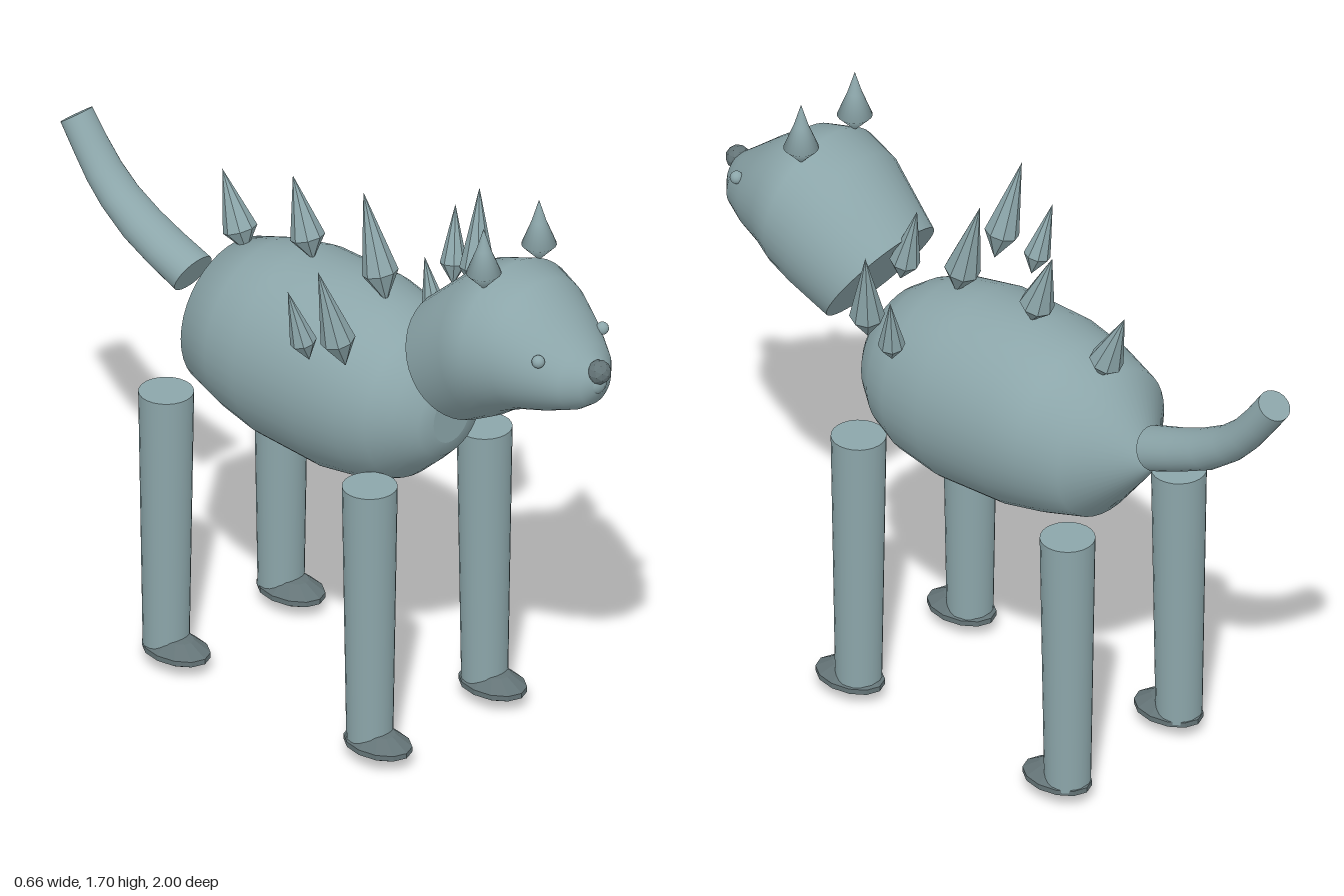
import * as THREE from 'three';

const skin = new THREE.MeshStandardMaterial({ color: 0x8ca6aa });
skin.name = 'blueGreySkin';
const dark = new THREE.MeshStandardMaterial({ color: 0x647477 });
dark.name = 'darkGrey';
const spikeSkin = skin;

// Skin over rings listed front to back: [topZ, topY, bottomZ, bottomY, halfWidth]
function loft(rings, sides = 32) {
  const pos = [], idx = [];
  const addRing = ([tz, ty, bz, by, rx]) => {
    const start = pos.length / 3;
    for (let j = 0; j < sides; j++) {
      const a = (j / sides) * Math.PI * 2, c = Math.cos(a) / 2;
      pos.push(rx * Math.sin(a), (ty + by) / 2 + (ty - by) * c, (tz + bz) / 2 + (tz - bz) * c);
    }
    return start;
  };
  const starts = rings.map(addRing);
  for (let i = 0; i < rings.length - 1; i++) {
    for (let j = 0; j < sides; j++) {
      const k = (j + 1) % sides, A = starts[i] + j, C = starts[i] + k;
      const B = starts[i + 1] + j, D = starts[i + 1] + k;
      idx.push(A, C, B, C, D, B);
    }
  }
  // flat end caps with their own vertices
  [[rings[0], true], [rings[rings.length - 1], false]].forEach(([r, front]) => {
    const s = addRing(r), m = pos.length / 3;
    pos.push(0, (r[1] + r[3]) / 2, (r[0] + r[2]) / 2);
    for (let j = 0; j < sides; j++) {
      const k = (j + 1) % sides;
      idx.push(m, s + (front ? k : j), s + (front ? j : k));
    }
  });
  const g = new THREE.BufferGeometry();
  g.setAttribute('position', new THREE.Float32BufferAttribute(pos, 3));
  g.setIndex(idx);
  g.computeVertexNormals();
  return g;
}

const lathe = (pts, sides) =>
  new THREE.LatheGeometry(pts.map(([r, y]) => new THREE.Vector2(r, y)), sides);

// Flat-faced geometry without a flatShading flag
function faceted(g) {
  const f = g.toNonIndexed();
  f.computeVertexNormals();
  return f;
}

export function createModel() {
  const model = new THREE.Group();
  model.name = 'spikedAnimal';
  const add = (name, geo, mat, x = 0, y = 0, z = 0) => {
    const m = new THREE.Mesh(geo, mat);
    m.name = name;
    m.position.set(x, y, z);
    model.add(m);
    return m;
  };

  // Barrel body, rounded chest, tapered rump
  add('body', loft([
    [0.425, 1.06, 0.425, 0.91, 0.07],
    [0.415, 1.10, 0.415, 0.87, 0.12],
    [0.37, 1.17, 0.37, 0.825, 0.175],
    [0.31, 1.215, 0.31, 0.77, 0.22],
    [0.23, 1.25, 0.23, 0.735, 0.25],
    [0.09, 1.28, 0.09, 0.715, 0.27],
    [-0.13, 1.28, -0.13, 0.728, 0.268],
    [-0.25, 1.255, -0.25, 0.755, 0.25],
    [-0.37, 1.215, -0.37, 0.79, 0.215],
    [-0.50, 1.04, -0.50, 0.95, 0.04],
    [-0.52, 1.01, -0.52, 0.98, 0.015],
  ], 40), skin);

  // Head and neck in one, cut off flat behind
  add('head', loft([
    [0.972, 1.33, 0.972, 1.27, 0.025],
    [0.955, 1.355, 0.955, 1.235, 0.06],
    [0.91, 1.39, 0.92, 1.21, 0.105],
    [0.83, 1.455, 0.84, 1.18, 0.155],
    [0.74, 1.52, 0.755, 1.155, 0.195],
    [0.645, 1.542, 0.70, 1.13, 0.228],
    [0.54, 1.505, 0.645, 1.09, 0.222],
    [0.36, 1.34, 0.555, 1.04, 0.188],
  ], 40), skin);

  // Upturned tail
  add('tail', loft([
    [-0.50, 1.11, -0.555, 1.0, 0.067],
    [-0.60, 1.145, -0.65, 1.04, 0.066],
    [-0.68, 1.18, -0.75, 1.088, 0.063],
    [-0.76, 1.225, -0.835, 1.152, 0.059],
    [-0.82, 1.275, -0.89, 1.21, 0.056],
    [-0.87, 1.335, -0.94, 1.275, 0.052],
    [-0.92, 1.405, -0.995, 1.35, 0.048],
  ], 24), skin);

  // Nose, muzzle bump
  add('nose', faceted(new THREE.IcosahedronGeometry(0.034, 1)), dark, 0, 1.335, 0.968);
  add('mouth', new THREE.SphereGeometry(0.04, 20, 14), skin, 0, 1.298, 0.942);

  // Legs, feet, eyes and ears, mirrored
  const legGeo = new THREE.CylinderGeometry(0.075, 0.063, 0.78, 24);
  const footGeo = lathe([[0, 0], [0.045, 0.015], [0.106, 0.043], [0.106, 0.058],
    [0.055, 0.088], [0, 0.094]], 12).scale(0.7, 1, 1);
  const footFlat = faceted(footGeo);
  const eyeGeo = new THREE.SphereGeometry(0.018, 14, 10);
  const earGeo = lathe([[0, 0], [0.048, 0.05], [0.02, 0.12], [0, 0.185]], 20);
  for (const s of [1, -1]) {
    const side = s > 0 ? 'Left' : 'Right';
    for (const [end, legZ, footZ] of [['front', 0.335, 0.365], ['back', -0.415, -0.378]]) {
      add(end + side + 'Leg', legGeo, skin, s * 0.224, 0.44, legZ);
      add(end + side + 'Foot', footFlat, dark, s * 0.224, 0, footZ);
    }
    add('eye' + side, eyeGeo, skin, s * 0.125, 1.377, 0.862);
    add('ear' + side, earGeo, skin, s * 0.108, 1.51, 0.645);
  }

  // Faceted spike running from a base point to a tip
  const up = new THREE.Vector3(0, 1, 0);
  const spike = (name, base, tip, r) => {
    const a = new THREE.Vector3(...base), d = new THREE.Vector3(...tip).sub(a);
    const h = d.length();
    const g = faceted(lathe([[0, 0], [r, h * 0.27], [r * 0.62, h * 0.55], [0, h]], 8));
    add(name, g, spikeSkin, ...base).quaternion.setFromUnitVectors(up, d.normalize());
  };
  // Row along the spine
  [
    [0.385, 1.20, 0.325, 1.44, 0.042],
    [0.185, 1.245, 0.10, 1.55, 0.05],
    [-0.085, 1.27, -0.16, 1.50, 0.048],
    [-0.33, 1.20, -0.42, 1.42, 0.048],
  ].forEach(([bz, by, tz, ty, r], i) => spike('spineSpike' + (i + 1), [0, by, bz], [0, ty, tz], r));
  // Two on each shoulder
  for (const s of [1, -1]) {
    const side = s > 0 ? 'Left' : 'Right';
    spike('bigShoulderSpike' + side, [s * 0.255, 1.19, 0.275], [s * 0.315, 1.485, 0.23], 0.048);
    spike('smallShoulderSpike' + side, [s * 0.28, 1.175, 0.165], [s * 0.327, 1.39, 0.13], 0.037);
  }
  return model;
}
